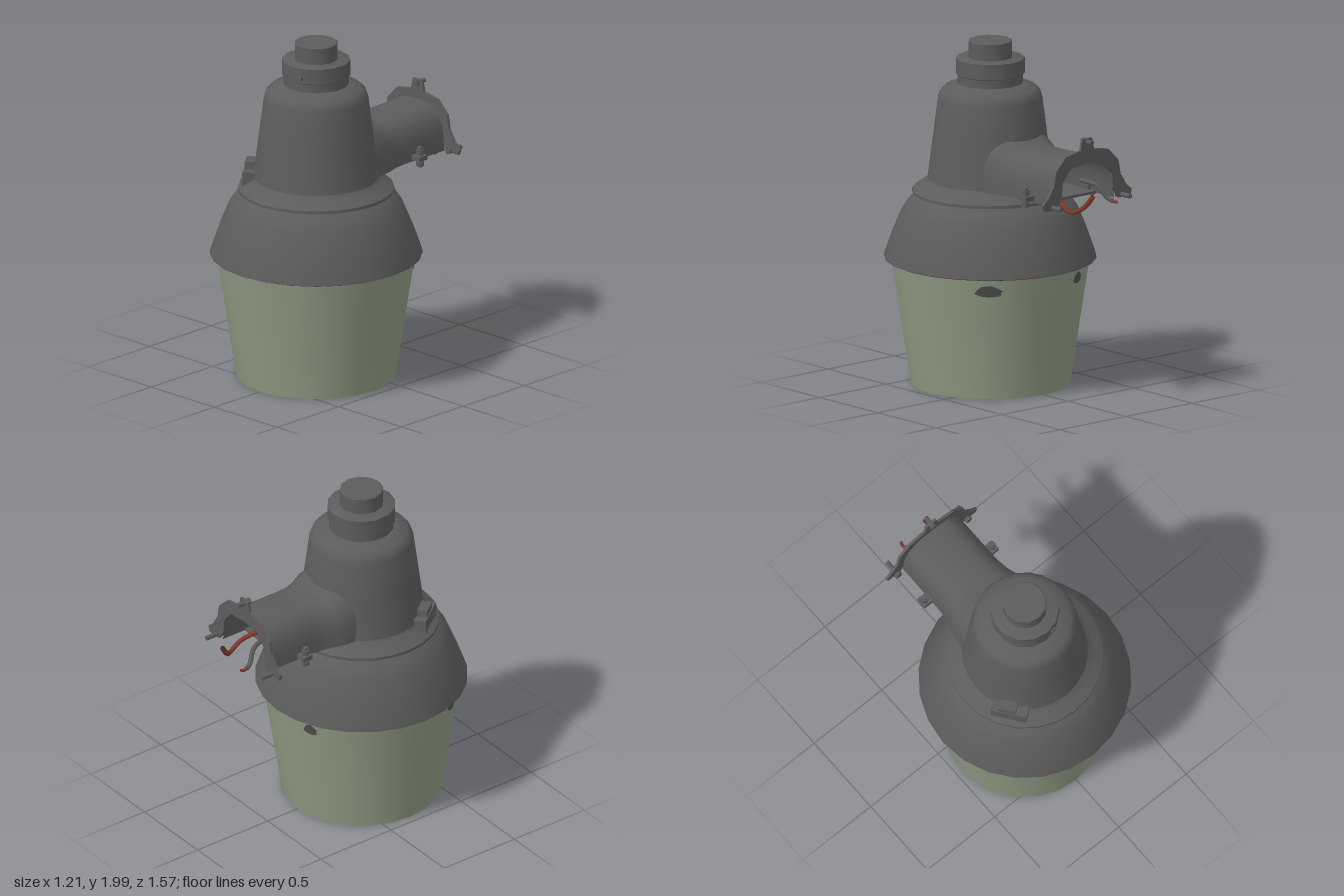
import * as THREE from 'three';
import { toCreasedNormals } from 'three/addons/utils/BufferGeometryUtils.js';

const material = (name, color) => {
  const m = new THREE.MeshStandardMaterial({ color, side: THREE.DoubleSide });
  m.name = name;
  return m;
};

export function createModel() {
  const grey = material('grey metal', 0x5c5c5c);
  const glass = material('pale green lens', 0x8f9a82);
  const dark = material('dark stain', 0x4e4e4c);
  const red = material('red wire', 0x80392e);

  const model = new THREE.Group();
  const lamp = new THREE.Group(); // everything turned around the lamp's axis
  lamp.name = 'lamp';
  lamp.position.z = 0.17;
  model.add(lamp);

  const add = (parent, name, geometry, mat, x = 0, y = 0, z = 0) => {
    const mesh = new THREE.Mesh(geometry, mat);
    mesh.name = name;
    mesh.position.set(x, y, z);
    parent.add(mesh);
    return mesh;
  };
  const turned = (name, profile, mat, sides, crease = 0.6) => {
    const points = profile.map(([r, y]) => new THREE.Vector2(r, y));
    return add(lamp, name, toCreasedNormals(new THREE.LatheGeometry(points, sides), crease), mat);
  };

  // Open-bottomed lens with a thin wall
  const lensRadius = (y) => 0.455 + 0.15 * y;
  turned('lens', [[0.55, 0.74], [0.445, 0.008], [0.455, 0.006], [0.566, 0.74]], glass, 24);

  // Shade, flange and housing
  turned('shade', [[0.555, 0.745], [0.59, 0.728], [0.606, 0.735], [0.602, 0.755], [0.555, 0.89],
    [0.505, 1.01], [0.465, 1.07], [0.41, 1.115]], grey, 24);
  turned('flange', [[0.40, 1.11], [0.445, 1.113], [0.445, 1.13], [0.40, 1.163], [0.365, 1.185],
    [0.355, 1.20]], grey, 24, 0.5);
  turned('housing', [[0.362, 1.17], [0.352, 1.24], [0.325, 1.45], [0.297, 1.67], [0.288, 1.70],
    [0.262, 1.728], [0.19, 1.752], [0, 1.755]], grey, 24, 0.7);

  // Light sensor on top
  turned('sensorCollar', [[0.187, 1.74], [0.187, 1.80], [0.196, 1.805], [0.196, 1.895],
    [0.188, 1.90], [0, 1.90]], grey, 14);
  turned('sensorCap', [[0.125, 1.89], [0.125, 1.995], [0.118, 2], [0, 2]], grey, 12);
  add(lamp, 'sensorTab', new THREE.BoxGeometry(0.04, 0.02, 0.02), grey, 0.05, 1.835, 0.185);

  // Latch boss on the front right
  const latch = new THREE.Group();
  latch.name = 'latch';
  latch.rotation.y = Math.atan2(-0.8, 0.6);
  lamp.add(latch);
  add(latch, 'latchBlock', new THREE.BoxGeometry(0.21, 0.11, 0.14), grey, 0, 1.175, 0.34);
  add(latch, 'latchNub', new THREE.BoxGeometry(0.1, 0.06, 0.06), grey, -0.01, 1.242, 0.375);

  // Stains bent around the lens: x, z give the direction, then height, width, tallness
  for (const [x, z, y, w, h] of [[0.37, -0.41, 0.655, 0.16, 0.07], [-0.2, -0.51, 0.67, 0.09, 0.07],
    [-0.485, 0.27, 0.685, 0.09, 0.09]]) {
    const g = new THREE.CircleGeometry(0.5, 9);
    const p = g.attributes.position;
    const angle = Math.atan2(x, z);
    for (let i = 0; i < p.count; i++) {
      const wobble = 1 + 0.12 * Math.sin(i * 2.3);
      const py = y + p.getY(i) * h * wobble;
      const r = lensRadius(py) + 0.004;
      const a = angle + (p.getX(i) * w * wobble) / r;
      p.setXYZ(i, r * Math.sin(a), py, r * Math.cos(a));
    }
    g.computeVertexNormals();
    add(lamp, 'stain', g, dark);
  }

  // Arched arm running back from the housing, flared where it joins
  const sections = [[0.05, 0.26, 1.52], [-0.12, 0.26, 1.49], [-0.17, 0.25, 1.453], [-0.24, 0.228, 1.443],
    [-0.32, 0.215, 1.447], [-0.655, 0.213, 1.455]];
  const steps = 14;
  const armGeometry = new THREE.PlaneGeometry(1, 1, steps, sections.length - 1);
  const pos = armGeometry.attributes.position;
  sections.forEach(([z, half, top], row) => {
    for (let i = 0; i <= steps; i++) {
      const a = Math.PI * (1 - i / steps);
      const c = Math.cos(a);
      const s = Math.max(0, Math.sin(a));
      pos.setXYZ(row * (steps + 1) + i, half * Math.sign(c) * Math.abs(c) ** 0.65,
        1.19 + (top - 1.19) * s ** 0.75, z);
    }
  });
  armGeometry.computeVertexNormals();
  // Rows run backwards, so turn the faces outwards
  const outward = armGeometry.attributes.normal.getY(steps / 2 + 3 * (steps + 1)) > 0;
  if (!outward) {
    armGeometry.index.array.reverse();
    armGeometry.computeVertexNormals();
  }
  add(model, 'arm', armGeometry, grey);
  add(model, 'armFloor', new THREE.BoxGeometry(0.42, 0.015, 0.34), grey, 0, 1.195, -0.33);

  // Arched wall plate with two ears and a top tab
  const half = [[0, 1.57], [0.035, 1.57], [0.05, 1.505], [0.16, 1.485], [0.235, 1.41], [0.25, 1.33],
    [0.29, 1.265], [0.335, 1.225], [0.325, 1.19], [0.235, 1.19], [0.195, 1.25], [0.185, 1.34],
    [0.125, 1.41], [0, 1.425]];
  const outline = [...half, ...half.slice(1, -1).reverse().map(([x, y]) => [-x, y])];
  const plate = new THREE.Shape(outline.map(([x, y]) => new THREE.Vector2(x, y)));
  add(model, 'wallPlate', new THREE.ExtrudeGeometry(plate, { depth: 0.016, bevelEnabled: false }),
    grey, 0, 0, -0.668);

  // Mounting screws through the wall plate
  for (const [x, y, back] of [[-0.26, 1.205, -0.74], [0.26, 1.205, -0.74], [0, 1.55, -0.71]]) {
    const length = -0.64 - back;
    const shank = add(model, 'screw', new THREE.CylinderGeometry(0.014, 0.014, length, 8), grey,
      x, y, back + length / 2);
    const head = add(model, 'screwHead', new THREE.CylinderGeometry(0.022, 0.022, 0.024, 6), grey,
      x, y, -0.642);
    shank.rotation.x = head.rotation.x = Math.PI / 2;
  }

  // Clamp lugs and bolts beside the arm
  for (const side of [-1, 1]) {
    add(model, 'clampLug', new THREE.BoxGeometry(0.08, 0.028, 0.065), grey, side * 0.235, 1.215, -0.42);
    add(model, 'clampBolt', new THREE.CylinderGeometry(0.015, 0.015, 0.12, 8), grey, side * 0.25, 1.22, -0.42);
    add(model, 'clampBoltHead', new THREE.CylinderGeometry(0.024, 0.024, 0.03, 6), grey, side * 0.25, 1.25, -0.42);
    add(model, 'clampNut', new THREE.CylinderGeometry(0.024, 0.024, 0.025, 6), grey, side * 0.25, 1.18, -0.42);
  }

  // Loose wires leaving the arm
  const wire = (name, points, radius, mat) => {
    const path = new THREE.CatmullRomCurve3(points.map((p) => new THREE.Vector3(...p)));
    add(model, name, new THREE.TubeGeometry(path, 16, radius, 6), mat);
  };
  wire('redWire', [[0.06, 1.27, -0.46], [0.13, 1.2, -0.59], [0.125, 1.157, -0.67], [0.08, 1.19, -0.73],
    [0.055, 1.26, -0.78]], 0.015, red);
  wire('greyWire', [[-0.05, 1.3, -0.55], [-0.08, 1.28, -0.66], [-0.11, 1.215, -0.71], [-0.125, 1.2, -0.745]],
    0.014, grey);
  wire('wireTip', [[-0.124, 1.2, -0.74], [-0.126, 1.197, -0.76], [-0.12, 1.2, -0.785]], 0.009, red);

  return model;
}
